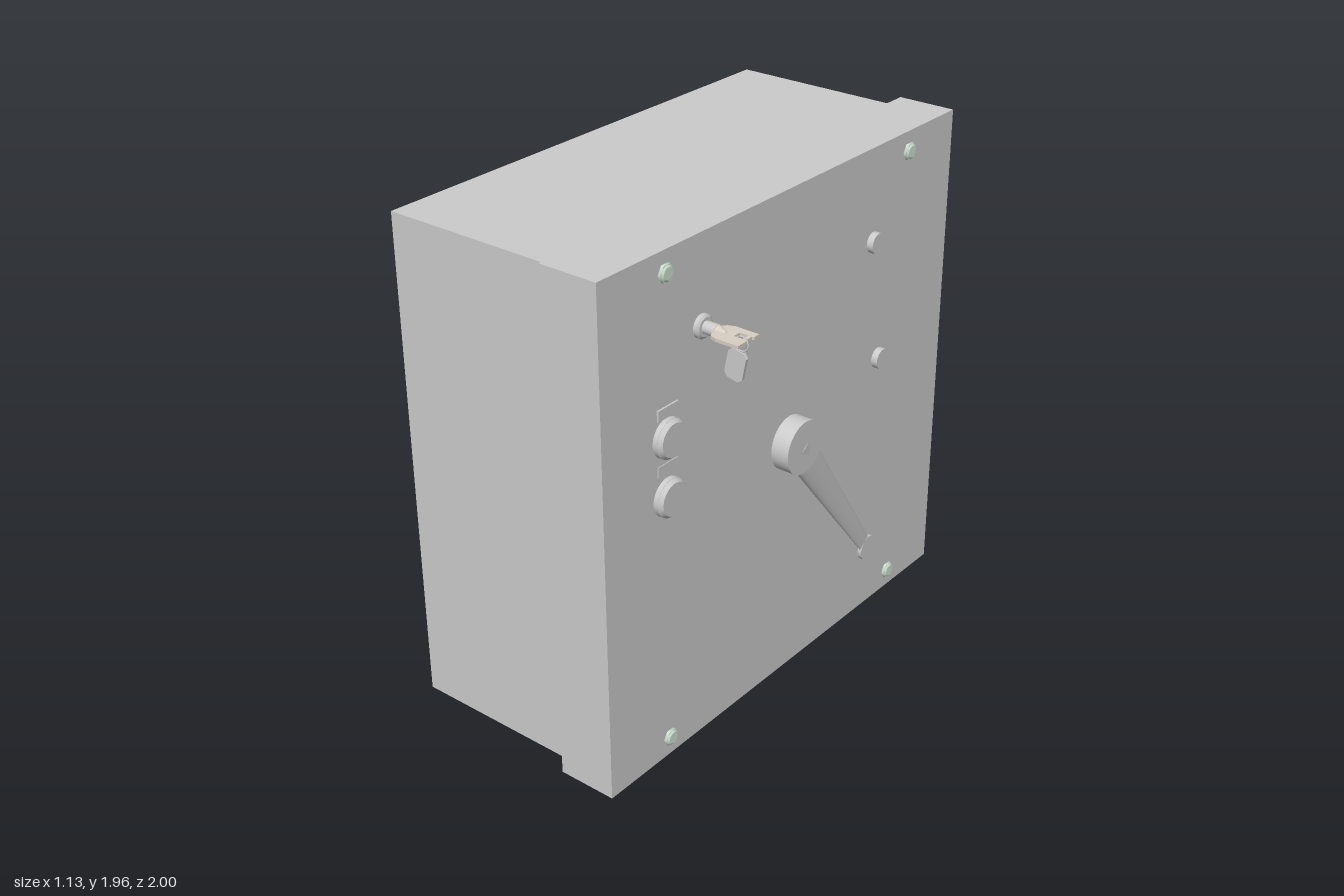
import * as THREE from 'three';

const FACE = 0.367; // x of the cover's outer face

export function createModel() {
  const root = new THREE.Group();
  const grey = new THREE.MeshStandardMaterial({ color: 0xcccccc });
  const green = new THREE.MeshStandardMaterial({ color: 0xcfe3d2 });
  const brass = new THREE.MeshStandardMaterial({ color: 0xd8cfc4 });

  const add = (name, geo, mat = grey, x = 0, y = 0, z = 0) => {
    const mesh = new THREE.Mesh(geo, mat);
    mesh.name = name;
    mesh.position.set(x, y, z);
    root.add(mesh);
    return mesh;
  };
  const box = (name, x0, x1, y0, y1, z0, z1, mat) =>
    add(name, new THREE.BoxGeometry(x1 - x0, y1 - y0, z1 - z0), mat,
      (x0 + x1) / 2, (y0 + y1) / 2, (z0 + z1) / 2);
  // Disc or cone frustum whose axis runs along x, from x0 to x1
  const disc = (name, x0, x1, y, z, r0, r1 = r0, sides = 40, mat = grey) => {
    const geo = new THREE.CylinderGeometry(r1, r0, x1 - x0, sides).rotateZ(-Math.PI / 2);
    return add(name, geo, mat, (x0 + x1) / 2, y, z);
  };

  // Enclosure
  box('enclosureBody', -0.565, 0.14, 0.02, 1.935, -0.958, 0.955);
  box('cover', 0.135, FACE, 0, 1.955, -1, 1);

  // Corner bolts
  for (const y of [0.075, 1.878]) for (const z of [0.682, -0.705]) {
    disc('coverBolt', FACE, 0.378, y, z, 0.034, 0.034, 6, green);
    disc('boltCrown', 0.378, 0.383, y, z, 0.029, 0.022, 24, green);
  }

  // Push buttons with label plates above
  for (const y of [1.293, 1.07]) {
    disc('buttonBezel', FACE, 0.385, y, 0.68, 0.073);
    disc('buttonCap', 0.385, 0.4, y, 0.68, 0.072, 0.061);
  }
  box('labelPlate', FACE - 0.01, 0.374, 1.37, 1.41, 0.627, 0.73);
  box('labelPlate', FACE - 0.01, 0.37, 1.162, 1.2, 0.627, 0.73);

  // Indicator lamps
  disc('indicatorLamp', FACE, 0.393, 1.59, -0.495, 0.04);
  disc('indicatorLamp', FACE, 0.393, 1.1, -0.56, 0.04);

  // Rotary handle: hub, flattened tapering arm, end disc
  const hub = new THREE.Vector3(0.403, 0.98, 0);
  const tip = new THREE.Vector3(0.403, 0.3, -0.495);
  disc('handleHub', FACE, 0.44, hub.y, hub.z, 0.104, 0.104, 48);
  disc('handleEnd', 0.395, 0.411, tip.y, tip.z, 0.051);
  const length = hub.distanceTo(tip);
  const armGeo = new THREE.CylinderGeometry(1, 1, length, 32);
  const p = armGeo.attributes.position;
  for (let i = 0; i < p.count; i++) {
    const t = p.getY(i) / length + 0.5; // 0 at the tip, 1 at the hub
    p.setX(i, p.getX(i) * (0.006 + 0.033 * t));
    p.setZ(i, p.getZ(i) * (0.031 + 0.041 * t));
  }
  armGeo.computeVertexNormals();
  const arm = add('handleArm', armGeo);
  arm.position.copy(hub).add(tip).multiplyScalar(0.5);
  arm.rotation.x = Math.atan2(hub.z - tip.z, hub.y - tip.y);

  // Key lock
  const ky = 1.628, kz = 0.5;
  disc('lockCollar', FACE, 0.379, ky, kz, 0.043);
  disc('lockCollarBevel', 0.379, 0.386, ky, kz, 0.043, 0.034);
  disc('lockBarrel', 0.38, 0.435, ky, kz, 0.023, 0.023, 24);
  disc('keyShoulder', 0.435, 0.47, ky, kz, 0.022, 0.008, 24, brass);

  // Key bow: flat plate with a square hole (shape x = model x, shape y = -z)
  const bow = new THREE.Shape([
    [0.425, -0.025], [0.445, -0.06], [0.47, -0.067], [0.56, -0.067], [0.56, -0.02], [0.553, -0.015],
    [0.553, 0.015], [0.56, 0.02], [0.56, 0.045], [0.465, 0.045], [0.44, 0.035], [0.425, 0.02],
  ].map(([x, y]) => new THREE.Vector2(x, y)));
  bow.holes.push(new THREE.Path([
    [0.505, -0.015], [0.505, 0.015], [0.54, 0.015], [0.54, -0.015],
  ].map(([x, y]) => new THREE.Vector2(x, y))));
  const bowGeo = new THREE.ExtrudeGeometry(bow, { depth: 0.012, bevelEnabled: false })
    .translate(0, 0, -0.006).rotateX(-Math.PI / 2);
  // Mirrored plate offset keeps the wider wing toward +z
  add('keyBow', bowGeo, brass, 0, ky, kz - 0.01);

  // Ring and hanging tag
  add('keyRing', new THREE.TorusGeometry(0.026, 0.003, 8, 28), grey, 0.532, 1.612, kz);
  const tag = new THREE.Shape([
    [-0.022, 0.056], [0.022, 0.056], [0.037, 0.04], [0.037, -0.04],
    [0.022, -0.056], [-0.022, -0.056], [-0.037, -0.04], [-0.037, 0.04],
  ].map(([x, y]) => new THREE.Vector2(x, y)));
  const tagGeo = new THREE.ExtrudeGeometry(tag, { depth: 0.012, bevelEnabled: false })
    .translate(0, 0, -0.006);
  add('keyTag', tagGeo, grey, 0.51, 1.531, kz).rotation.z = -0.2;

  return root;
}
